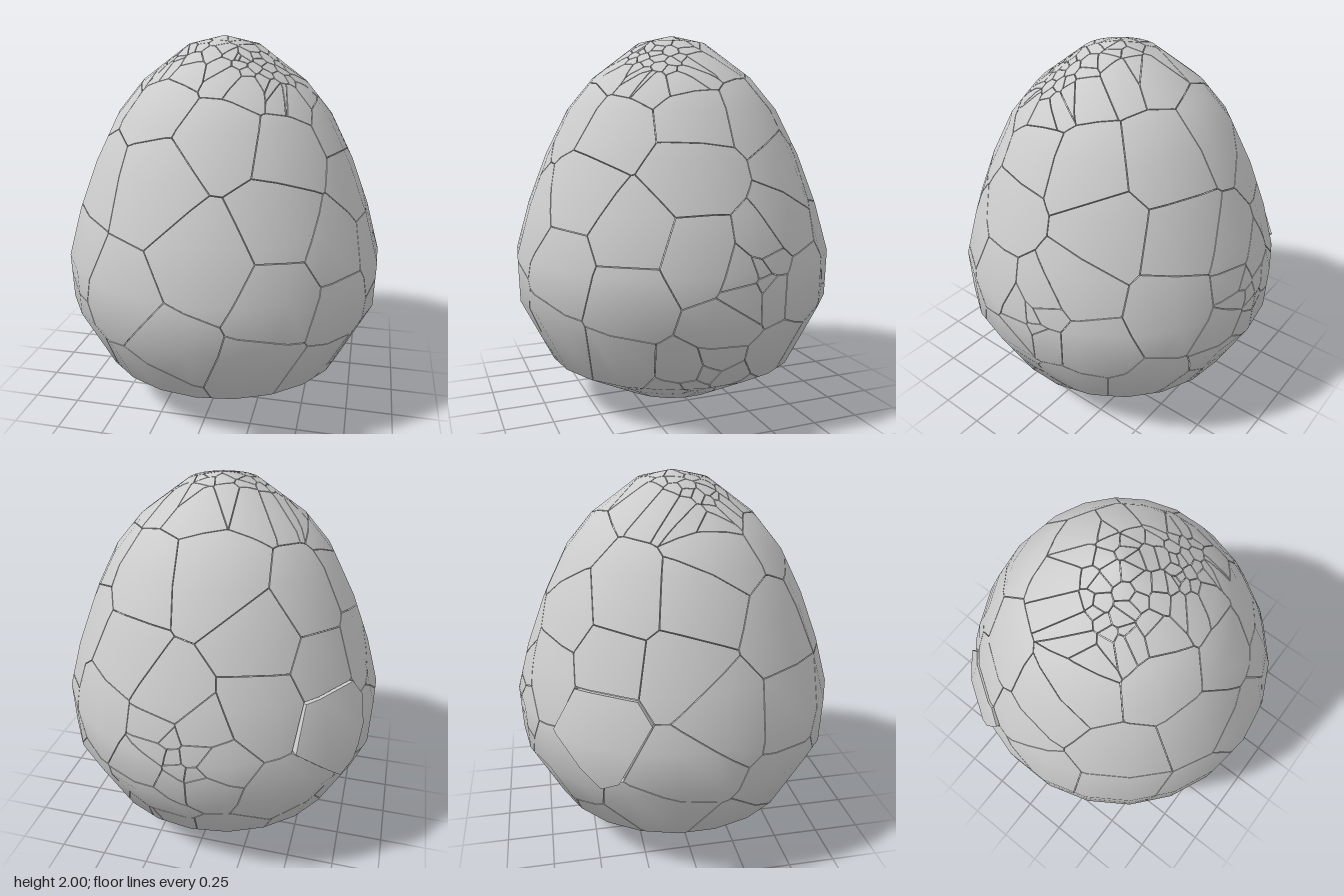
import * as THREE from 'three';

// Egg profile: [radius, height], bottom to top
const PROFILE = [[0, 0], [0.323, 0.05], [0.69, 0.25], [0.862, 0.59], [0.87, 0.84], [0.797, 1.1],
  [0.697, 1.36], [0.575, 1.6], [0.434, 1.77], [0.187, 1.955], [0, 2]];
const CENTRE = new THREE.Vector3(0, 0.9, 0);
const GAP = 0.002, WALL = 0.045;

// Centres of the large fragments, [angle from front in degrees, height]; the first is the loose one
const LARGE = [
  [-125, 0.95], [-7, 0.57], [6, 1.05], [-18, 1.35], [-25, 0.8], [33, 1.2], [31, 0.85], [25, 0.45],
  [-20, 0.3], [-30, 1.72], [12, 1.6], [42, 1.52], [-53, 0.95], [-58, 0.5], [-52, 1.3],
  [78, 1.3], [79, 0.93], [87, 0.58], [112, 1.05], [116, 0.75], [122, 1.32], [107, 0.42], [55, 1.03],
  [55, 0.74], [50, 0.38], [80, 1.58], [112, 1.57], [147, 0.95], [140, 0.4], [152, 1.25], [150, 1.6],
  [176, 1.1], [170, 0.52], [-122, 1.5], [-150, 1.38], [-152, 1.1], [-125, 1.22], [-98, 1.2],
  [-90, 1.5], [-75, 1.7], [-146, 0.58], [-97, 0.75], [-85, 1.0], [-105, 0.42], [-165, 0.25],
  [-170, 1.65], [-75, 0.25], [-130, 0.2], [0, 0.08], [75, 0.09], [150, 0.08], [-100, 0.07], [-45, 0.12],
];

// Patches of fine cracking: [angle, height, spread, count]
const PATCHES = [[0, 1.99, 0.28, 38], [55, 1.83, 0.24, 24], [-70, 1.86, 0.14, 7],
  [99, 0.84, 0.12, 7], [82, 0.3, 0.17, 8], [180, 0.83, 0.18, 12], [163, 0.2, 0.13, 8]];

function seededRandom(seed) {
  return () => (seed = (seed * 16807) % 2147483647) / 2147483647;
}

function radiusAt(y) {
  const i = Math.max(1, PROFILE.findIndex((p) => p[1] >= y));
  const [r0, y0] = PROFILE[i - 1], [r1, y1] = PROFILE[i];
  return r0 + (r1 - r0) * (y - y0) / (y1 - y0);
}

function onEgg(degrees, y) {
  const a = THREE.MathUtils.degToRad(degrees), r = radiusAt(y);
  return new THREE.Vector3(r * Math.sin(a), y, r * Math.cos(a));
}

function makeSeeds() {
  const random = seededRandom(4711);
  const seeds = LARGE.map(([a, y]) => onEgg(a, y));
  for (const [a, y, spread, count] of PATCHES) {
    const c = onEgg(a, y);
    const out = c.clone().sub(CENTRE).normalize();
    const u = new THREE.Vector3(0.3, 0, 1).cross(out).normalize();
    const v = out.clone().cross(u);
    for (let i = 0; i < count; i++) {
      // Evenly spread spiral with a little jitter
      const d = spread * Math.sqrt((i + random()) / count), t = i * 2.4 + random() * 0.9;
      const p = c.clone().addScaledVector(u, d * Math.cos(t)).addScaledVector(v, d * Math.sin(t));
      p.y = THREE.MathUtils.clamp(p.y, 0.02, 1.99);
      const r = Math.hypot(p.x, p.z) || 1, k = radiusAt(p.y) / r;
      // Near the tip keep x and z and follow the surface height instead
      if (y > 1.95) p.y = 2 - 0.9 * r * r - 0.08 * r;
      else { p.x *= k; p.z *= k; }
      seeds.push(p);
    }
  }
  return seeds;
}

// Triangles of the whole egg with smooth normals
function eggTriangles(lathe) {
  const { position, normal } = lathe.attributes, index = lathe.index.array, tris = [];
  for (let i = 0; i < index.length; i += 3) {
    const tri = [0, 1, 2].map((k) => ({
      p: new THREE.Vector3().fromBufferAttribute(position, index[i + k]),
      n: new THREE.Vector3().fromBufferAttribute(normal, index[i + k]),
      cut: false,
    }));
    if (new THREE.Triangle(tri[0].p, tri[1].p, tri[2].p).getArea() > 1e-6) tris.push(tri);
  }
  return tris;
}

// Keep the part of a polygon behind a plane, flagging the edges made by the cut
function clip(poly, plane) {
  const d = poly.map((v) => plane.distanceToPoint(v.p));
  if (d.every((x) => x <= 0)) return poly;
  const result = [];
  poly.forEach((a, i) => {
    const j = (i + 1) % poly.length, b = poly[j];
    if (d[i] <= 0) result.push(a);
    if ((d[i] <= 0) !== (d[j] <= 0)) {
      const t = d[i] / (d[i] - d[j]);
      result.push({ p: a.p.clone().lerp(b.p, t), n: a.n.clone().lerp(b.n, t).normalize(), cut: d[i] <= 0 || a.cut });
    }
  });
  return result;
}

// One fragment: the egg surface cut to the region nearest its seed, with walls along the cracks
function fragmentGeometry(seed, seeds, tris) {
  const planes = seeds.filter((s) => s !== seed)
    .sort((a, b) => a.distanceToSquared(seed) - b.distanceToSquared(seed))
    .map((s) => {
      const n = s.clone().sub(seed).normalize();
      const mid = s.clone().add(seed).multiplyScalar(0.5).addScaledVector(n, -GAP);
      return new THREE.Plane().setFromNormalAndCoplanarPoint(n, mid);
    });
  const pos = [], nor = [];
  const add = (p, n) => { pos.push(p.x, p.y, p.z); nor.push(n.x, n.y, n.z); };
  for (const tri of tris) {
    let poly = tri;
    for (const plane of planes) {
      poly = clip(poly, plane);
      if (poly.length < 3) break;
    }
    if (poly.length < 3) continue;
    for (let i = 1; i < poly.length - 1; i++) {
      for (const v of [poly[0], poly[i], poly[i + 1]]) add(v.p, v.n);
    }
    poly.forEach((v, i) => {
      if (!v.cut) return;
      const a = v.p, b = poly[(i + 1) % poly.length].p;
      const a2 = a.clone().lerp(CENTRE, WALL), b2 = b.clone().lerp(CENTRE, WALL);
      const n = a2.clone().sub(a).cross(b.clone().sub(a)).normalize();
      for (const p of [a, a2, b, b, a2, b2]) add(p, n);
    });
  }
  const g = new THREE.BufferGeometry();
  g.setAttribute('position', new THREE.Float32BufferAttribute(pos, 3));
  g.setAttribute('normal', new THREE.Float32BufferAttribute(nor, 3));
  return g;
}

export function createModel() {
  const egg = new THREE.Group();
  egg.name = 'crackedEgg';
  const material = new THREE.MeshStandardMaterial({ color: 0xcccccc, side: THREE.DoubleSide });
  const lathe = new THREE.LatheGeometry(PROFILE.map(([r, y]) => new THREE.Vector2(r, y)), 22);
  const tris = eggTriangles(lathe), seeds = makeSeeds();

  // Shell fragments
  const shell = new THREE.Group();
  shell.name = 'shell';
  egg.add(shell);
  seeds.forEach((seed, i) => {
    const geometry = fragmentGeometry(seed, seeds, tris);
    if (!geometry.attributes.position.count) return;
    const piece = new THREE.Mesh(geometry, material);
    piece.name = i < LARGE.length ? 'largeFragment' : 'smallFragment';
    if (i === 0) {
      // The loose fragment stands out slightly, tipped outward at its lower edge
      piece.name = 'looseFragment';
      const out = new THREE.Vector3(seed.x, 0, seed.z).normalize();
      geometry.translate(-seed.x, -seed.y, -seed.z);
      piece.position.copy(seed).addScaledVector(out, 0.018);
      piece.rotateOnAxis(out.clone().cross(new THREE.Vector3(0, 1, 0)), 0.06);
    }
    shell.add(piece);
  });

  // Inner body closing the cracks
  const core = new THREE.Mesh(lathe, material);
  core.name = 'innerBody';
  core.scale.setScalar(0.97);
  core.position.copy(CENTRE).multiplyScalar(0.03);
  egg.add(core);
  return egg;
}
